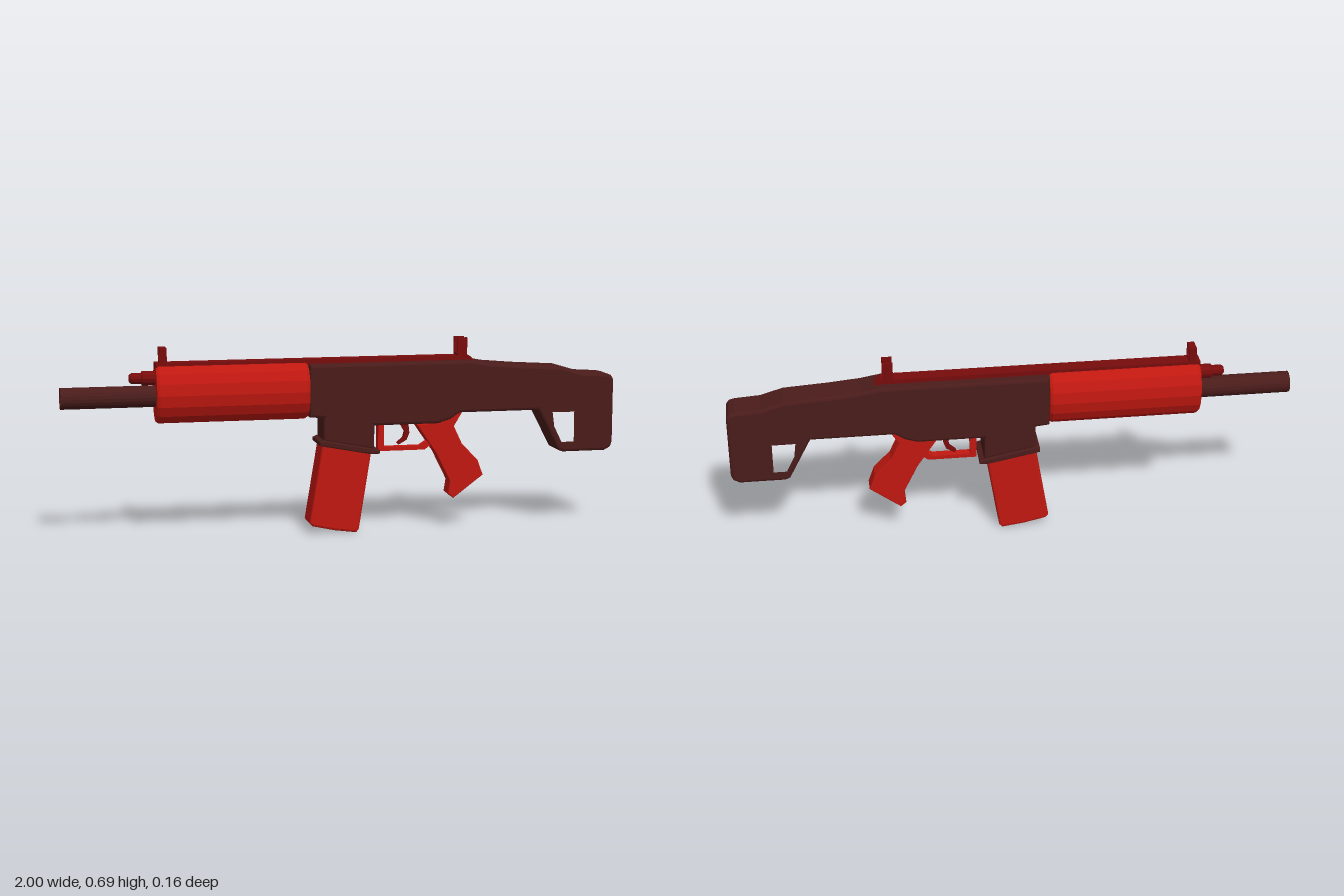
import * as THREE from 'three';

const paint = (color) => new THREE.MeshStandardMaterial({ color, flatShading: true });

export function createModel() {
  const model = new THREE.Group();
  const dark = paint(0x4a1c1a), red = paint(0xc01810), deep = paint(0x780c0c);

  const add = (name, geometry, material, x = 0, y = 0, z = 0) => {
    const mesh = new THREE.Mesh(geometry, material);
    mesh.name = name;
    mesh.position.set(x, y, z);
    model.add(mesh);
    return mesh;
  };
  const box = (name, x0, x1, y0, y1, z0, z1, material) =>
    add(name, new THREE.BoxGeometry(x1 - x0, y1 - y0, z1 - z0), material,
      (x0 + x1) / 2, (y0 + y1) / 2, (z0 + z1) / 2);

  // Side profile given thickness across z, with chamfered edges
  const slab = (name, points, half, bevel, material, hole) => {
    const toVectors = (list) => list.map(([x, y]) => new THREE.Vector2(x, y));
    const shape = new THREE.Shape(toVectors(points));
    if (hole) shape.holes.push(new THREE.Path(toVectors(hole)));
    const geometry = new THREE.ExtrudeGeometry(shape, {
      depth: 2 * (half - bevel), bevelEnabled: bevel > 0, bevelThickness: bevel,
      bevelSize: bevel, bevelOffset: -bevel, bevelSegments: 2, steps: 1,
    });
    geometry.translate(0, 0, -(half - bevel));
    return add(name, geometry, material);
  };
  // Turned part lying along x, from [radius, x] pairs
  const turned = (name, profile, sides, y, material) => {
    const geometry = new THREE.LatheGeometry(
      profile.map(([r, x]) => new THREE.Vector2(r, x)), sides);
    geometry.rotateZ(-Math.PI / 2);
    return add(name, geometry, material, 0, y);
  };

  // Receiver and shoulder stock in one piece, with the opening in the stock
  slab('receiverAndStock', [
    [-0.13, 0.612], [0.46, 0.612], [0.53, 0.6], [0.64, 0.59], [0.8, 0.58], [0.88, 0.556],
    [0.97, 0.55], [0.99, 0.545], [1, 0.53], [1, 0.3], [0.993, 0.28], [0.97, 0.268],
    [0.81, 0.268], [0.793, 0.275], [0.715, 0.425], [0.42, 0.425], [0.385, 0.402],
    [0.34, 0.388], [0.105, 0.388], [0.105, 0.3], [-0.08, 0.335], [-0.08, 0.42], [-0.13, 0.425],
  ], 0.061, 0.01, dark,
  [[0.757, 0.425], [0.86, 0.425], [0.86, 0.295], [0.797, 0.295], [0.765, 0.36]]);

  // Flared lip of the magazine well
  slab('magazineWellLip', [
    [-0.095, 0.336], [-0.08, 0.342], [0.1, 0.306], [0.122, 0.3], [0.122, 0.288], [0.09, 0.287], [-0.095, 0.323],
  ], 0.071, 0.004, dark);

  // Magazine, canted forward
  slab('magazine', [
    [-0.08, 0.34], [0.098, 0.31], [0.05, 0.012], [0.04, 0.001], [-0.04, 0.012], [-0.12, 0.03], [-0.13, 0.042],
  ], 0.053, 0.008, red);

  // Oval handguard with softened ends
  turned('handguard', [
    [0, -0.67], [0.098, -0.67], [0.105, -0.66], [0.105, -0.14], [0.098, -0.13], [0, -0.13],
  ], 16, 0.518, red).scale.z = 0.078 / 0.105;

  // Hollow barrel
  turned('barrel', [
    [0.03, -0.66], [0.03, -1], [0.038, -1], [0.038, -0.66],
  ].reverse(), 20, 0.51, dark).material = new THREE.MeshStandardMaterial({
    color: 0x4a1c1a, side: THREE.DoubleSide, flatShading: true,
  });

  // Stepped gas plug above the barrel
  turned('gasPlug', [
    [0, -0.76], [0.013, -0.76], [0.019, -0.752], [0.019, -0.72], [0.025, -0.715], [0.025, -0.66], [0, -0.66],
  ], 12, 0.574, deep);

  // Top rail
  slab('topRail', [[-0.67, 0.6], [-0.67, 0.628], [0.46, 0.628], [0.485, 0.606], [0.485, 0.6]],
    0.025, 0, deep);

  // Sights: pairs of uprights on a base
  for (const side of [-1, 1]) {
    const z = side * 0.0225;
    box('rearSightPost', 0.417, 0.453, 0.62, 0.692, z - 0.004, z + 0.004, deep);
    box('frontSightPost', -0.655, -0.63, 0.62, 0.68, z - 0.004, z + 0.004, deep);
  }
  box('rearSightBase', 0.417, 0.453, 0.62, 0.635, -0.022, 0.022, deep);
  box('frontSightBase', -0.655, -0.63, 0.62, 0.635, -0.022, 0.022, deep);
  box('frontSightBridge', -0.655, -0.63, 0.676, 0.68, -0.022, 0.022, deep);

  // Pistol grip
  slab('grip', [
    [0.265, 0.385], [0.34, 0.385], [0.385, 0.4], [0.42, 0.428], [0.435, 0.422], [0.405, 0.372],
    [0.435, 0.308], [0.495, 0.245], [0.515, 0.19], [0.405, 0.108], [0.385, 0.125],
    [0.392, 0.17], [0.34, 0.275],
  ], 0.033, 0.003, red);

  // Trigger guard and trigger
  slab('triggerGuard', [
    [0.128, 0.395], [0.15, 0.395], [0.15, 0.302], [0.285, 0.302], [0.31, 0.318],
    [0.325, 0.306], [0.3, 0.288], [0.128, 0.288],
  ], 0.016, 0, red);
  slab('trigger', [
    [0.205, 0.395], [0.24, 0.395], [0.245, 0.35], [0.235, 0.325], [0.205, 0.308],
    [0.2, 0.314], [0.222, 0.333], [0.228, 0.355],
  ], 0.009, 0, deep);

  return model;
}
